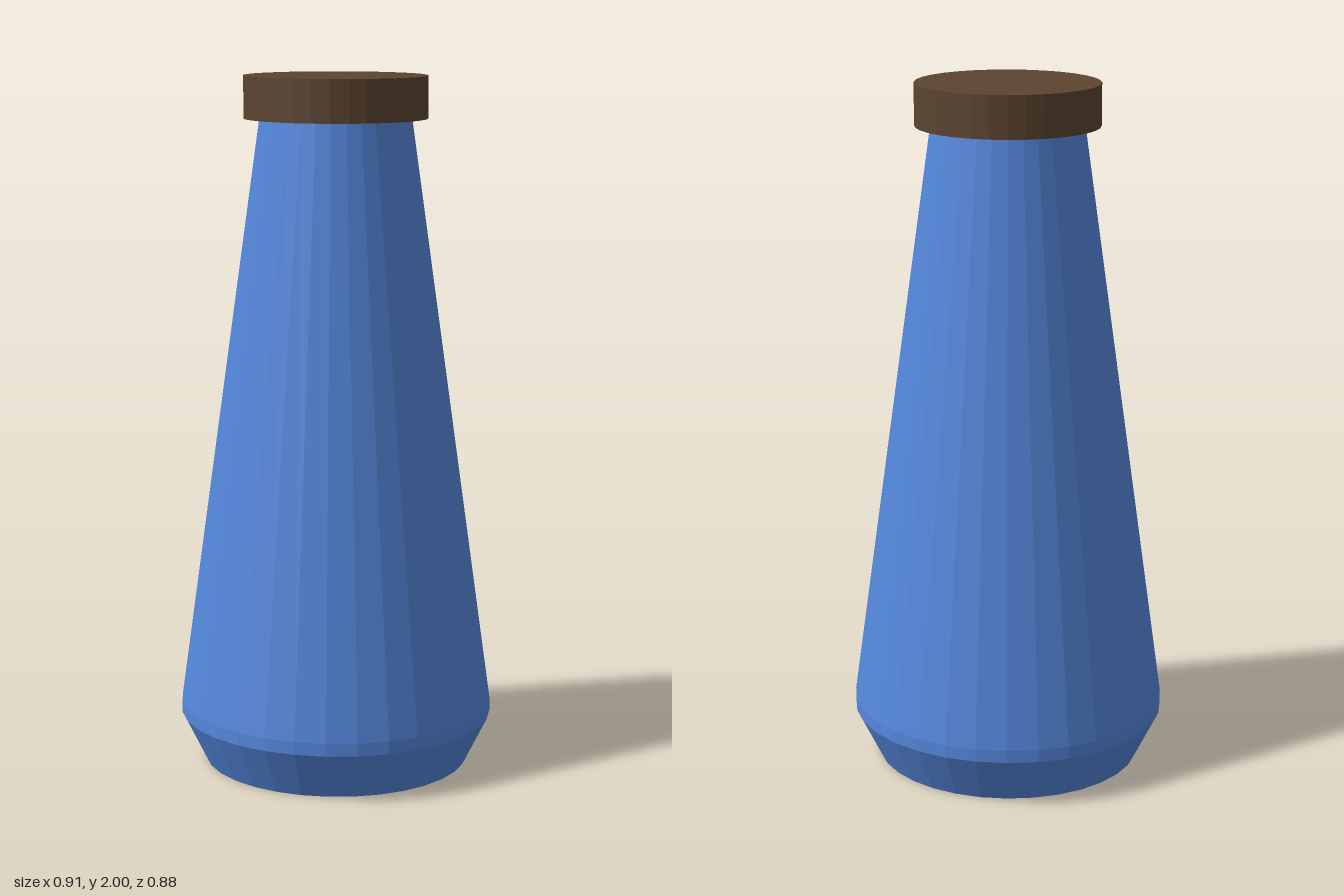
import * as THREE from 'three';

const SIDES = 32;
const DEPTH = 0.965; // the round sections are slightly narrower along z

// Faceted turned solid from [radius, height] pairs, listed bottom to top
function turned(name, profile, color) {
  const points = profile.map(([r, y]) => new THREE.Vector2(r, y));
  const geometry = new THREE.LatheGeometry(points, SIDES);
  geometry.scale(1, 1, DEPTH);
  const material = new THREE.MeshStandardMaterial({ color, flatShading: true });
  const mesh = new THREE.Mesh(geometry, material);
  mesh.name = name;
  return mesh;
}

export function createModel() {
  const group = new THREE.Group();
  group.name = 'bottle';

  // Tapered body with a chamfered foot and a narrow band at its widest point
  group.add(turned('body', [
    [0, 0], [0.387, 0], [0.457, 0.143], [0.457, 0.18], [0.217, 1.88], [0, 1.88],
  ], 0x5588dd));

  // Flat overhanging cap
  group.add(turned('cap', [
    [0, 1.88], [0.262, 1.88], [0.262, 2], [0, 2],
  ], 0x5c4430));

  return group;
}
